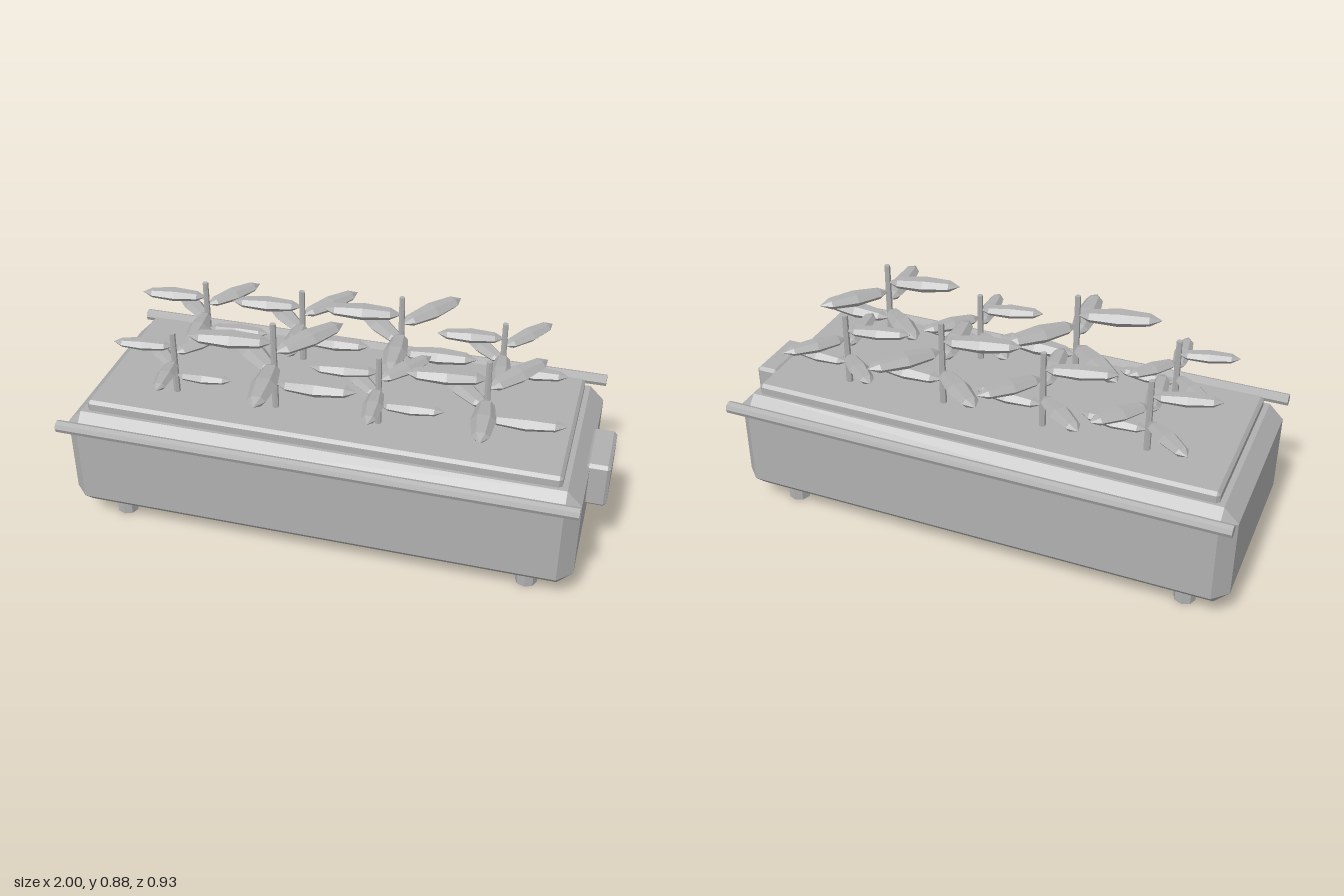
import * as THREE from 'three';
import { ConvexGeometry } from 'three/addons/geometries/ConvexGeometry.js';

const grey = new THREE.MeshStandardMaterial({ color: 0xb0b0b0, flatShading: true });
grey.name = 'plain grey';

function add(parent, name, geometry, x = 0, y = 0, z = 0) {
  const mesh = new THREE.Mesh(geometry, grey);
  mesh.name = name;
  mesh.position.set(x, y, z);
  parent.add(mesh);
  return mesh;
}

// Box between two corners with every edge and corner cut off by c
function chamferBox(parent, name, [x0, y0, z0], [x1, y1, z1], c) {
  const hx = (x1 - x0) / 2, hy = (y1 - y0) / 2, hz = (z1 - z0) / 2;
  const points = [];
  for (const sx of [-1, 1]) for (const sy of [-1, 1]) for (const sz of [-1, 1]) {
    points.push(
      new THREE.Vector3(sx * hx, sy * (hy - c), sz * (hz - c)),
      new THREE.Vector3(sx * (hx - c), sy * hy, sz * (hz - c)),
      new THREE.Vector3(sx * (hx - c), sy * (hy - c), sz * hz));
  }
  return add(parent, name, new ConvexGeometry(points), (x0 + x1) / 2, (y0 + y1) / 2, (z0 + z1) / 2);
}

// Pointed six-sided leaf lying along +x, starting at the origin, one unit long
const leafGeometry = new THREE.SphereGeometry(0.5, 6, 4).rotateZ(-Math.PI / 2).rotateX(Math.PI / 2);
leafGeometry.computeBoundingBox();
// turn the wide corners to face sideways
if (leafGeometry.boundingBox.max.y > leafGeometry.boundingBox.max.z) leafGeometry.rotateX(Math.PI / 2);
leafGeometry.translate(0.5, 0, 0);

// Stem with five leaves climbing it in a golden-angle spiral
function makePlant(height) {
  const plant = new THREE.Group();
  plant.name = 'plant';
  add(plant, 'stem', new THREE.CylinderGeometry(0.011, 0.013, height + 0.02, 6), 0, height / 2 - 0.01, 0);
  for (let i = 0; i < 5; i++) {
    const leaf = add(plant, 'leaf', leafGeometry, 0, height * (0.29 + 0.122 * i), 0);
    leaf.scale.set(height * 0.89, height * 0.17, height * 0.27);
    leaf.rotation.set(0, THREE.MathUtils.degToRad(137.5 * i), 0.04);
  }
  return plant;
}

export function createModel() {
  const model = new THREE.Group();
  model.name = 'planterTrough';

  // Trough, raised bed and the control box on its end
  chamferBox(model, 'trough', [-1, 0.072, -0.41], [0.925, 0.485, 0.383], 0.055);
  chamferBox(model, 'bed', [-0.925, 0.455, -0.345], [0.85, 0.525, 0.315], 0.012);
  chamferBox(model, 'controlBox', [0.91, 0.272, -0.137], [1, 0.45, 0.11], 0.012);

  // Rails along both long sides
  for (const z of [0.414, -0.443]) {
    const rail = new THREE.CylinderGeometry(0.023, 0.023, 1.925, 8).rotateZ(Math.PI / 2);
    add(model, 'rail', rail, -0.0375, 0.465, z);
  }

  // Feet
  for (const x of [-0.83, 0.755]) for (const z of [0.262, -0.29]) {
    add(model, 'foot', new THREE.CylinderGeometry(0.041, 0.041, 0.08, 8), x, 0.04, z);
  }

  // Two rows of plants of different heights
  const rows = [
    { z: 0.157, heights: [0.25, 0.352, 0.275, 0.325] },
    { z: -0.187, heights: [0.28, 0.3, 0.332, 0.28] },
  ];
  for (const { z, heights } of rows) {
    heights.forEach((height, i) => {
      const plant = makePlant(height);
      plant.position.set(-0.623 + 0.39 * i, 0.525, z);
      model.add(plant);
    });
  }
  return model;
}
